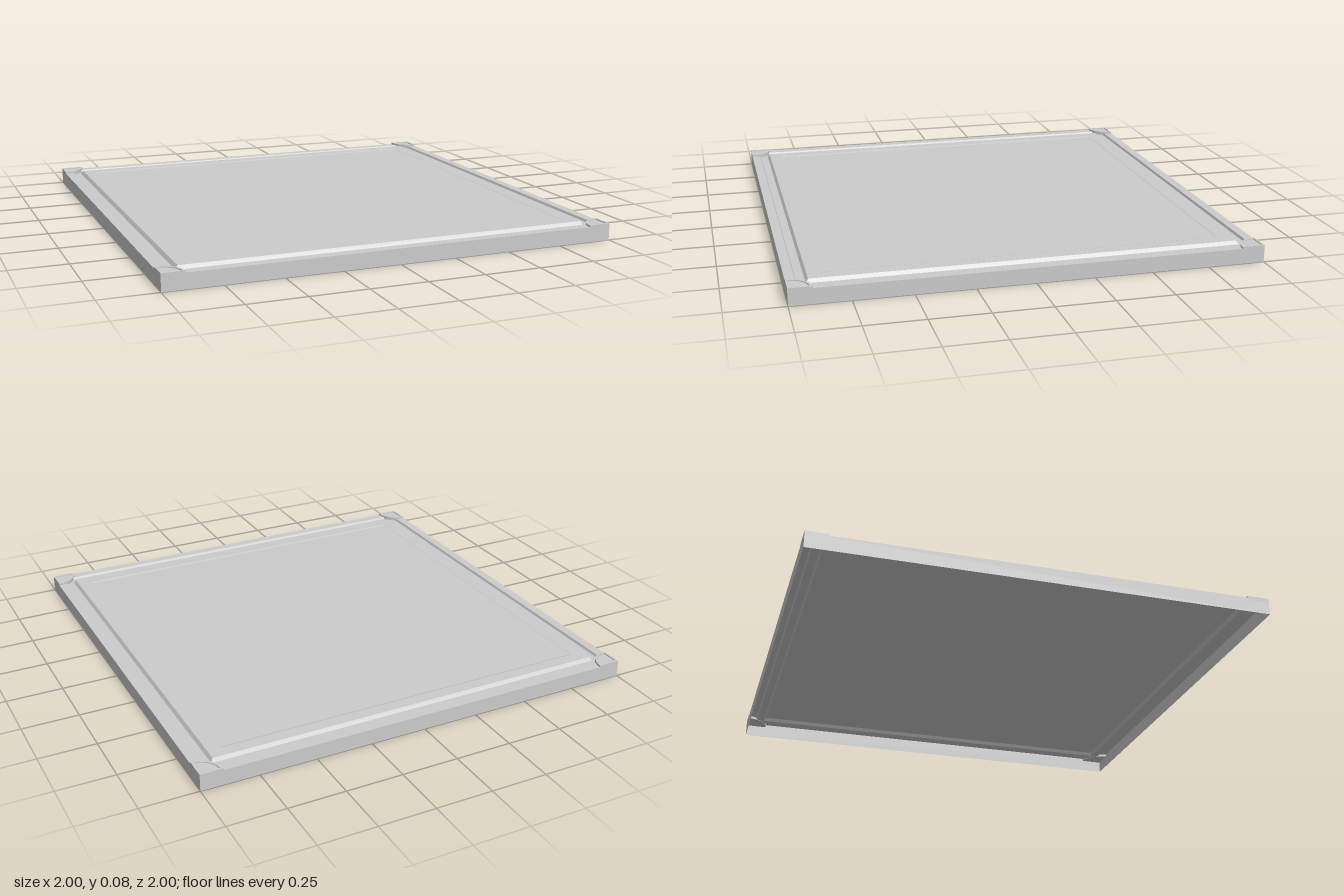
import * as THREE from 'three';

const grey = new THREE.MeshStandardMaterial({ color: 0xcccccc, flatShading: true, side: THREE.DoubleSide });

// Quarter disc with its square corner at (c, c), bulging towards -x and -y
function quarter(radius, c, Kind) {
  const s = new Kind();
  s.moveTo(c, c);
  s.lineTo(c - radius, c);
  s.absarc(c, c, radius, Math.PI, Math.PI * 1.5, false);
  s.lineTo(c, c);
  return s;
}

// Upright extrusion standing from y = bottom to y = top
function slab(shape, bottom, top) {
  const g = new THREE.ExtrudeGeometry(shape, { depth: top - bottom, bevelEnabled: false, curveSegments: 10 });
  g.rotateX(-Math.PI / 2);
  g.translate(0, bottom, 0);
  return g;
}

function add(parent, name, geometry) {
  const mesh = new THREE.Mesh(geometry, grey);
  mesh.name = name;
  parent.add(mesh);
  return mesh;
}

export function createModel() {
  const model = new THREE.Group();
  model.name = 'floorTile';

  // Square shell, open below: side wall, rim, groove, raised border, centre panel
  const profile = [
    [1, 0], [1, 0.067], [0.96, 0.067], [0.955, 0.057], [0.92, 0.057],
    [0.91, 0.072], [0.855, 0.072], [0.845, 0.069], [0, 0.069],
  ].map(([half, y]) => new THREE.Vector2(half * Math.SQRT2, y));
  const shell = new THREE.LatheGeometry(profile, 4);
  shell.rotateY(Math.PI / 4);
  add(model, 'tileShell', shell);

  // Quarter-round corner caps with a raised lip around a sunken inset
  const lip = quarter(0.1, 0, THREE.Shape);
  lip.holes.push(quarter(0.077, -0.009, THREE.Path));
  const lipGeometry = slab(lip, 0.055, 0.075);
  const insetGeometry = slab(quarter(0.077, -0.009, THREE.Shape), 0.055, 0.071);
  for (let i = 0; i < 4; i++) {
    const corner = new THREE.Group();
    corner.name = 'cornerCap' + (i + 1);
    for (const [name, g] of [['cornerLip', lipGeometry], ['cornerInset', insetGeometry]]) {
      add(corner, name, g).position.set(1, 0, -1);
    }
    corner.rotation.y = i * Math.PI / 2;
    model.add(corner);
  }
  return model;
}
